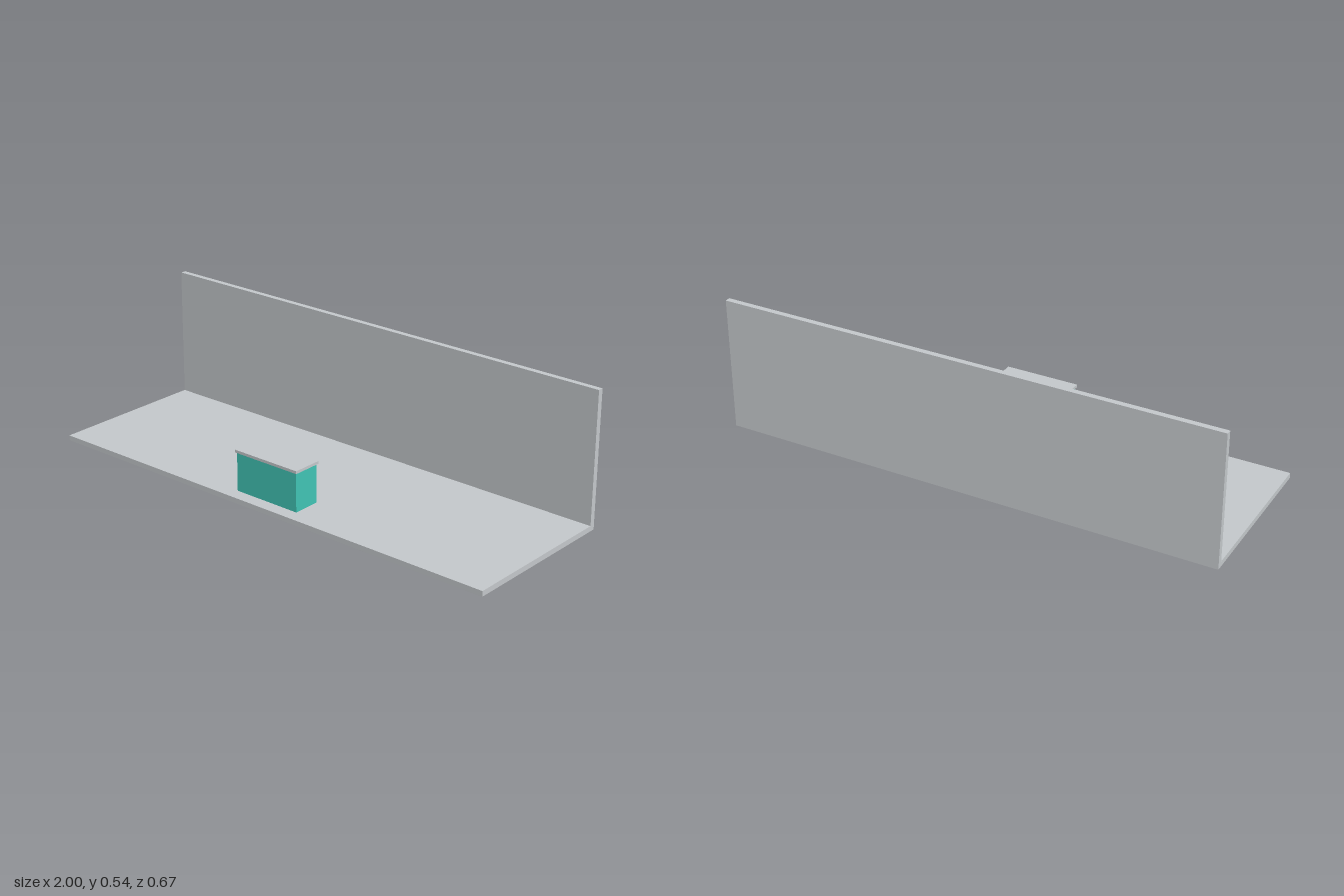
import * as THREE from 'three';

const grey = new THREE.MeshStandardMaterial({ name: 'lightGrey', color: 0xc2c6c9 });
const teal = new THREE.MeshStandardMaterial({ name: 'teal', color: 0x40c2b3 });

// Box given by its extents on each axis
function block(name, material, [x0, x1], [y0, y1], [z0, z1]) {
  const mesh = new THREE.Mesh(new THREE.BoxGeometry(x1 - x0, y1 - y0, z1 - z0), material);
  mesh.position.set((x0 + x1) / 2, (y0 + y1) / 2, (z0 + z1) / 2);
  mesh.name = name;
  return mesh;
}

export function createModel() {
  const model = new THREE.Group();
  model.name = 'counterStage';
  model.add(
    // Floor slab meeting the back wall
    block('floor', grey, [-1, 1], [0, 0.021], [-0.311, 0.333]),
    block('backWall', grey, [-1, 1], [0, 0.535], [-0.333, -0.311]),
    // Counter with an overhanging top
    block('counterBody', teal, [-0.143, 0.143], [0.01, 0.174], [0.171, 0.281]),
    block('counterTop', grey, [-0.148, 0.148], [0.174, 0.185], [0.166, 0.286]),
  );
  return model;
}
